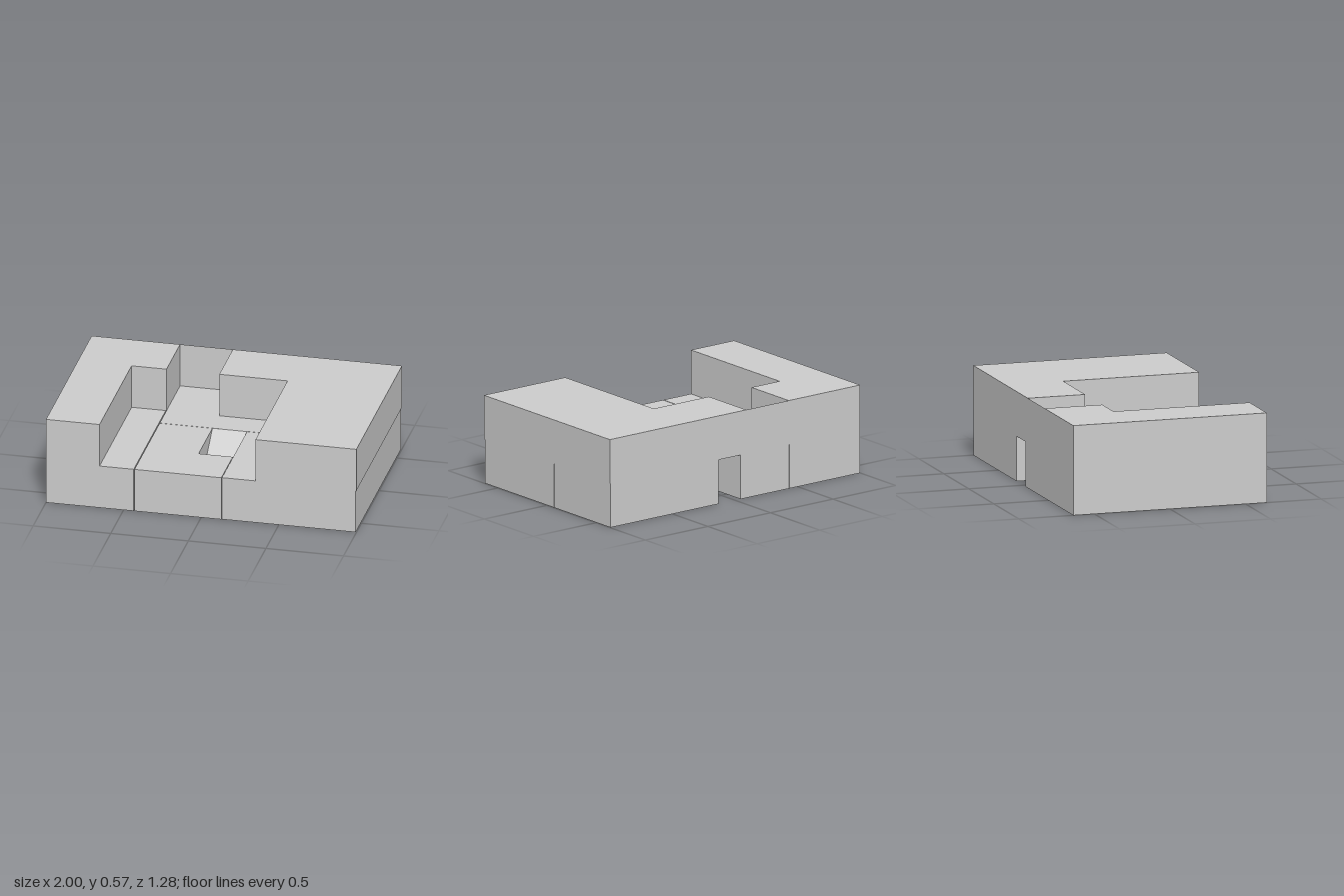
import * as THREE from 'three';

const FLOOR = 0.288, TOP = 0.575, RECESS = 0.02;

export function createModel() {
  const model = new THREE.Group();
  const solid = new THREE.MeshStandardMaterial({ color: 0xcccccc, flatShading: true });
  const thin = new THREE.MeshStandardMaterial({ color: 0xcccccc, flatShading: true, side: THREE.DoubleSide });

  // Upright prism over a plan outline of [x, z] corners
  const prism = (outline, y0, y1) => {
    const shape = new THREE.Shape(outline.map(([x, z]) => new THREE.Vector2(x, -z)));
    const geo = new THREE.ExtrudeGeometry(shape, { depth: y1 - y0, bevelEnabled: false });
    return new THREE.Mesh(geo.rotateX(-Math.PI / 2).translate(0, y0, 0), solid);
  };
  const rect = (x0, x1, z0, z1) => [[x0, z1], [x1, z1], [x1, z0], [x0, z0]];

  const upperBlock = (name, outline) => {
    const mesh = prism(outline, FLOOR, TOP);
    mesh.name = name;
    model.add(mesh);
  };

  // Ground-floor block: its underside sits a little above the foot of its walls
  const lowerBlock = (name, outline) => {
    const group = new THREE.Group();
    group.name = name;
    const body = prism(outline, RECESS, FLOOR);
    body.name = name + 'Body';
    group.add(body);
    outline.forEach(([x0, z0], i) => {
      const [x1, z1] = outline[(i + 1) % outline.length];
      const skirt = new THREE.Mesh(new THREE.PlaneGeometry(Math.hypot(x1 - x0, z1 - z0), RECESS), thin);
      skirt.position.set((x0 + x1) / 2, RECESS / 2, (z0 + z1) / 2);
      skirt.rotation.y = Math.atan2(z0 - z1, x1 - x0);
      skirt.name = name + 'Skirt';
      group.add(skirt);
    });
    model.add(group);
  };

  // Ground floor
  lowerBlock('lowerRightWing', rect(-1, -0.435, -0.64, 0.64));
  lowerBlock('lowerBackCentre', rect(-0.43, -0.045, -0.64, -0.07));
  lowerBlock('lowerFrontCentre', [
    [-0.43, 0.64], [0.13, 0.64], [0.13, 0.32], [-0.09, 0.32], [-0.09, -0.067], [-0.43, -0.067],
  ]);
  lowerBlock('lowerBackLeftWing', rect(0.133, 0.995, -0.64, -0.07));
  lowerBlock('lowerFrontLeftWing', rect(0.133, 0.995, -0.067, 0.637));

  // Upper floor around the terrace
  upperBlock('upperRightWing', rect(-1, -0.655, -0.26, 0.64));
  upperBlock('upperBackRight', rect(-1, -0.43, -0.64, -0.26));
  upperBlock('upperBackCentre', rect(-0.09, 0.35, -0.64, -0.26));
  upperBlock('upperLeftWing', rect(0.35, 1, -0.64, 0.64));

  // Thin wall closing the back of the terrace
  const wall = new THREE.Mesh(new THREE.PlaneGeometry(0.34, TOP - FLOOR), thin);
  wall.position.set(-0.26, (FLOOR + TOP) / 2, -0.64);
  wall.name = 'backWall';
  model.add(wall);

  // Terrace floor bridging the passage
  const bridge = prism(rect(-0.045, 0.133, -0.26, -0.068), FLOOR - 0.01, FLOOR);
  bridge.name = 'passageRoof';
  model.add(bridge);

  // Sloping ramp in the stairwell, rising towards the back
  const run = 0.388;
  const ramp = new THREE.Mesh(new THREE.PlaneGeometry(0.22, Math.hypot(run, FLOOR)), thin);
  ramp.rotation.x = -Math.atan2(run, FLOOR);
  ramp.position.set(0.02, FLOOR / 2, 0.126);
  ramp.name = 'stairRamp';
  model.add(ramp);

  return model;
}
